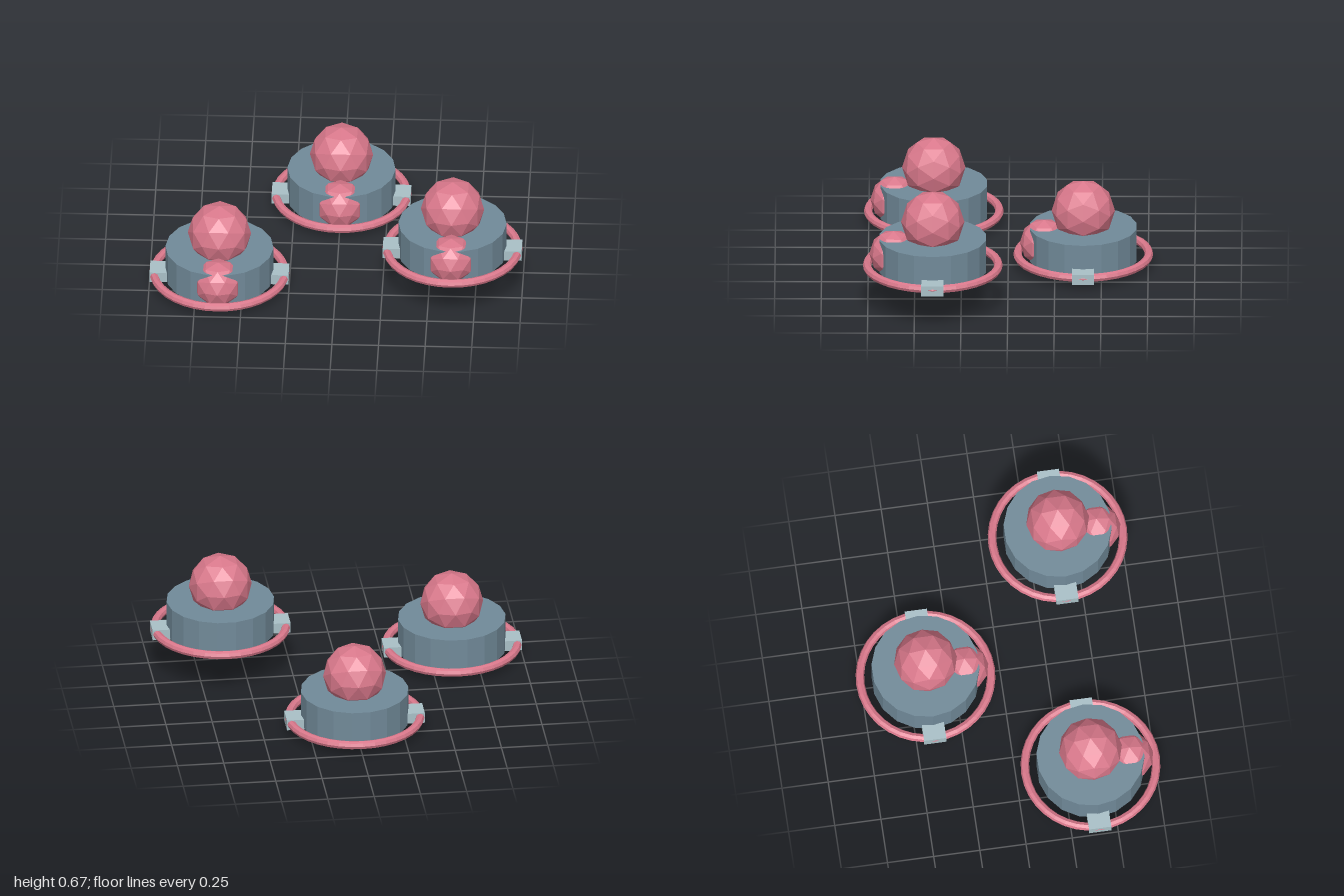
import * as THREE from 'three';

const slate = new THREE.MeshStandardMaterial({ color: 0x718a99, flatShading: true });
slate.name = 'slate';
const rose = new THREE.MeshStandardMaterial({ color: 0xd9788b, flatShading: true });
rose.name = 'rose';
const paleSteel = new THREE.MeshStandardMaterial({ color: 0xa9c0c7, flatShading: true });
paleSteel.name = 'pale steel';

// Shared part geometries
const bodyGeo = new THREE.CylinderGeometry(0.29, 0.29, 0.185, 18).rotateY(Math.PI / 2);
const domeGeo = new THREE.IcosahedronGeometry(0.17, 1).rotateX(-Math.PI / 2);
const eyeGeo = new THREE.IcosahedronGeometry(0.13, 1).rotateX(-Math.PI / 2);
const ringGeo = new THREE.TorusGeometry(0.352, 0.023, 8, 36).rotateX(-Math.PI / 2);
const clipGeo = new THREE.BoxGeometry(0.17, 0.058, 0.12);

function part(group, name, geometry, material, x, y, z) {
  const mesh = new THREE.Mesh(geometry, material);
  mesh.name = name;
  mesh.position.set(x, y, z);
  group.add(mesh);
}

// One hovering drone, standing on y = 0
function createDrone() {
  const drone = new THREE.Group();
  part(drone, 'body', bodyGeo, slate, 0, 0.1325, 0);
  part(drone, 'dome', domeGeo, rose, 0, 0.315, 0);
  part(drone, 'frontEye', eyeGeo, rose, 0, 0.131, 0.21);
  part(drone, 'ring', ringGeo, rose, 0, 0.065, 0);
  // Brackets holding the ring on both sides
  part(drone, 'leftBracket', clipGeo, paleSteel, 0.2875, 0.061, 0);
  part(drone, 'rightBracket', clipGeo, paleSteel, -0.2875, 0.061, 0);
  return drone;
}

export function createModel() {
  const model = new THREE.Group();
  model.name = 'droneTrio';
  const places = [
    ['rightDrone', -0.625, 0, 0.402],
    ['backDrone', 0, 0, -0.402],
    ['leftDrone', 0.625, 0.181, 0.402],
  ];
  for (const [name, x, y, z] of places) {
    const drone = createDrone();
    drone.name = name;
    drone.position.set(x, y, z);
    model.add(drone);
  }
  return model;
}
